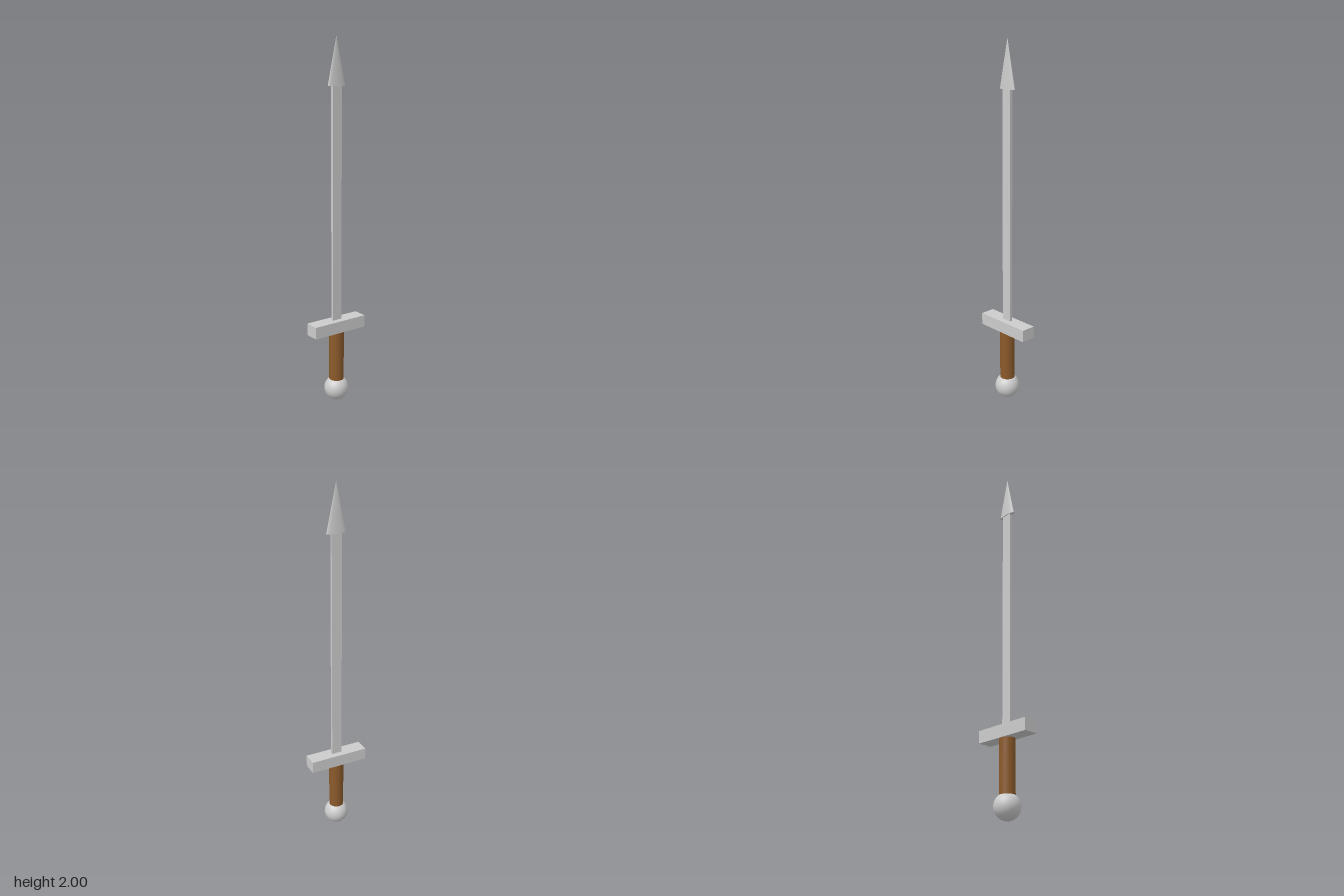
import * as THREE from 'three';

export function createModel() {
  const model = new THREE.Group();
  const metal = new THREE.MeshStandardMaterial({ color: 0xcccccc });
  const leather = new THREE.MeshStandardMaterial({ color: 0x8b5a2b });

  const add = (name, geometry, material, y) => {
    const mesh = new THREE.Mesh(geometry, material);
    mesh.name = name;
    mesh.position.y = y;
    model.add(mesh);
    return mesh;
  };

  // Round pommel at the foot, with the grip sunk slightly into it
  add('pommel', new THREE.SphereGeometry(0.069, 32, 16), metal, 0.069);
  add('grip', new THREE.CylinderGeometry(0.041, 0.041, 0.32, 32), leather, 0.25);

  // Crossguard and long flat blade
  add('crossguard', new THREE.BoxGeometry(0.334, 0.067, 0.083), metal, 0.441);
  add('blade', new THREE.BoxGeometry(0.058, 1.27, 0.016), metal, 1.11);

  // Flattened cone forming the point
  const tip = add('bladeTip', new THREE.ConeGeometry(0.055, 0.255, 32), metal, 1.8725);
  tip.scale.z = 0.25;

  return model;
}
